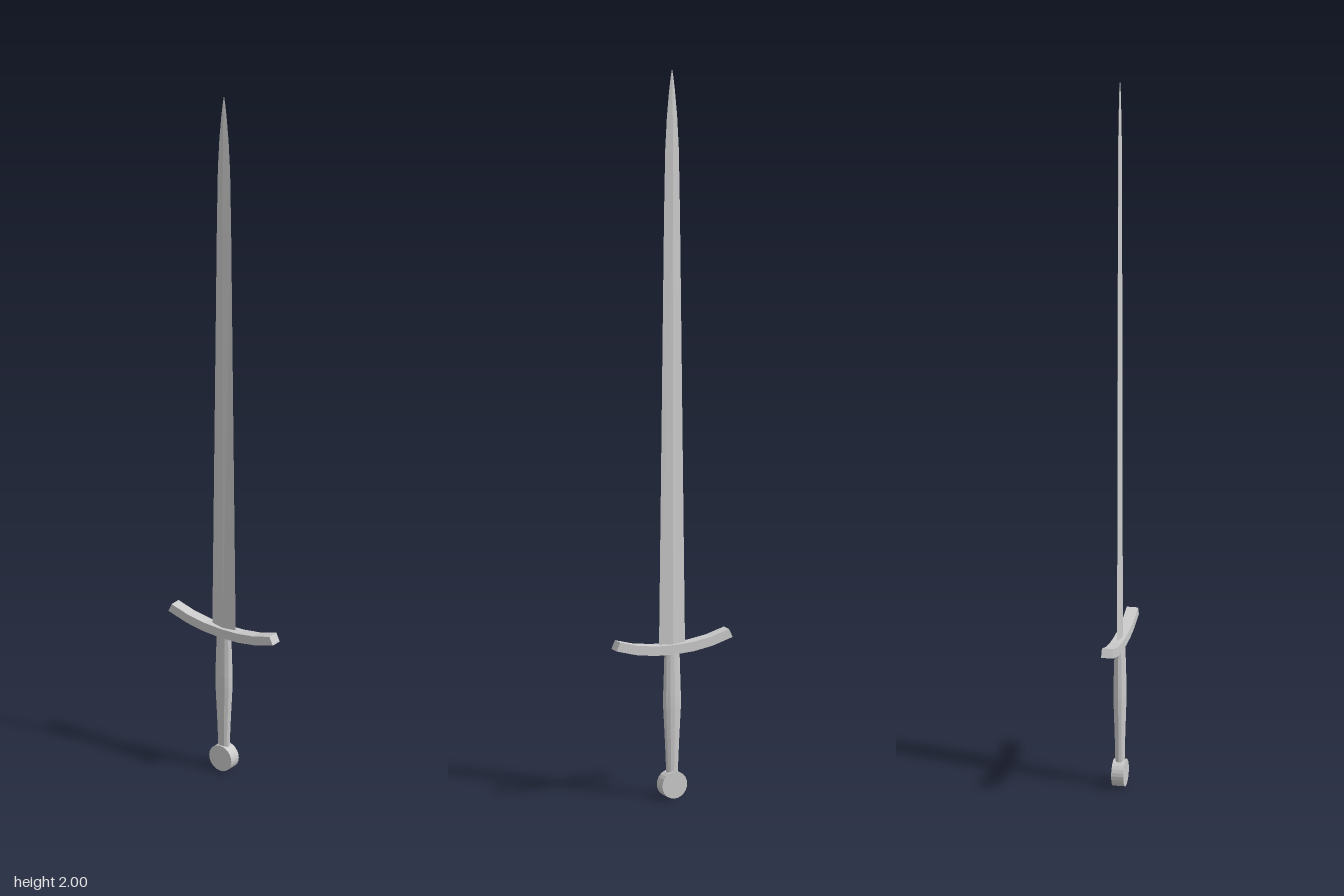
import * as THREE from 'three';

const material = new THREE.MeshStandardMaterial({ color: 0xcccccc, flatShading: true });

// Skin stacked cross-sections [y, halfWidth, halfDepth] with an n-sided outline, capped at both ends
function loft(sections, n) {
  const pos = [], index = [];
  for (const [y, hx, hz] of sections) {
    for (let i = 0; i < n; i++) {
      const a = (i / n) * Math.PI * 2;
      pos.push(Math.cos(a) * hx, y, Math.sin(a) * hz);
    }
  }
  const last = (sections.length - 1) * n;
  for (let s = 0; s < last; s += n) {
    for (let i = 0; i < n; i++) {
      const j = (i + 1) % n;
      index.push(s + i, s + n + i, s + j, s + j, s + n + i, s + n + j);
    }
  }
  for (let i = 1; i < n - 1; i++) {
    index.push(0, i, i + 1, last, last + i + 1, last + i);
  }
  const geo = new THREE.BufferGeometry();
  geo.setAttribute('position', new THREE.Float32BufferAttribute(pos, 3));
  geo.setIndex(index);
  const flat = geo.toNonIndexed();
  flat.computeVertexNormals();
  return flat;
}

export function createModel() {
  const group = new THREE.Group();
  const add = (name, geo) => {
    const mesh = new THREE.Mesh(geo, material);
    mesh.name = name;
    group.add(mesh);
    return mesh;
  };

  // Blade: diamond section, long taper, then a rounded point
  add('blade', loft([
    [0.41, 0.039, 0.007], [1.6, 0.024, 0.006], [1.78, 0.0205, 0.0055],
    [1.87, 0.0155, 0.0045], [1.94, 0.009, 0.003], [1.98, 0.004, 0.0018], [2.0, 0.0006, 0.0005],
  ], 4));

  // Crossguard: upswept bar, mirrored about its centre
  const top = [[0.012, 0.422], [0.055, 0.424], [0.11, 0.432], [0.163, 0.447]];
  const bottom = [[0.174, 0.424], [0.115, 0.407], [0.058, 0.398], [0.012, 0.396]];
  const right = [...top, ...bottom];
  const left = right.map(([x, y]) => [-x, y]).reverse();
  const outline = new THREE.Shape([...right, ...left].map(([x, y]) => new THREE.Vector2(x, y)));
  const guard = new THREE.ExtrudeGeometry(outline, { depth: 0.031, bevelEnabled: false });
  guard.translate(0, 0, -0.0155);
  add('crossguard', guard);

  // Grip: oval, swelling in the middle
  add('grip', loft([
    [0.06, 0.016, 0.0125], [0.15, 0.02, 0.0145], [0.25, 0.0255, 0.0178],
    [0.28, 0.0255, 0.0178], [0.4, 0.022, 0.014],
  ], 12));

  // Pommel: flat disc facing front and back
  const pommel = add('pommel', new THREE.CylinderGeometry(0.037, 0.037, 0.033, 24));
  pommel.rotation.x = Math.PI / 2;
  pommel.position.y = 0.037;

  return group;
}
